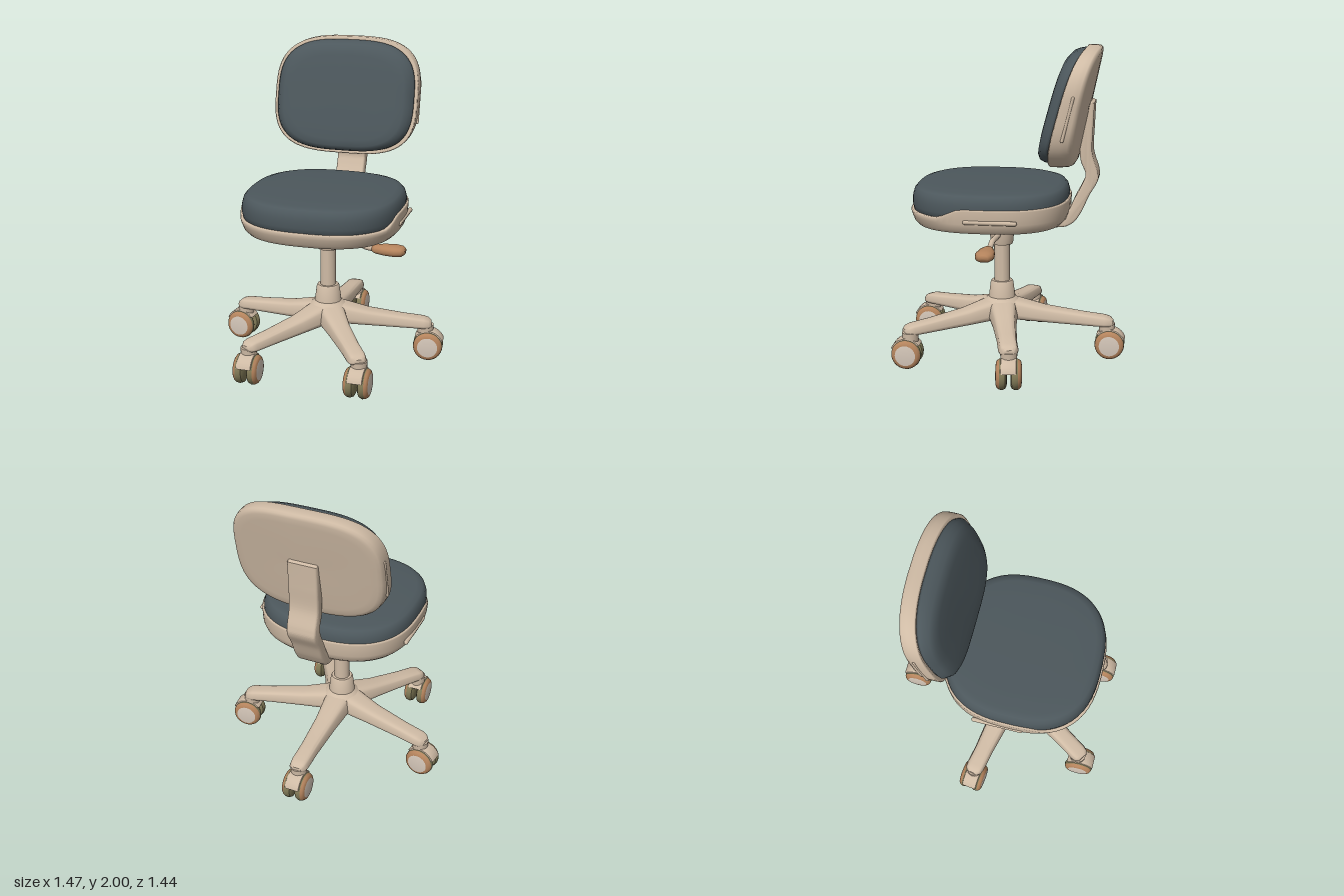
import * as THREE from 'three';
import { toCreasedNormals } from 'three/addons/utils/BufferGeometryUtils.js';

const mat = (name, color) => {
  const m = new THREE.MeshStandardMaterial({ color });
  m.name = name;
  return m;
};
const V = (x, y, z) => new THREE.Vector3(x, y, z);

// Closed skin through rings of points, with a fan at both ends, faces outward
function loft(rings) {
  const n = rings[0].length, pos = [], idx = [];
  rings.forEach(r => r.forEach(p => pos.push(p.x, p.y, p.z)));
  for (let r = 0; r < rings.length - 1; r++) for (let i = 0; i < n; i++) {
    const a = r * n + i, b = r * n + (i + 1) % n, c = a + n, d = b + n;
    idx.push(a, c, b, b, c, d);
  }
  [0, rings.length - 1].forEach((r, end) => {
    const mid = rings[r].reduce((s, p) => s.add(p), V(0, 0, 0)).divideScalar(n);
    const k = pos.push(mid.x, mid.y, mid.z) / 3 - 1;
    for (let i = 0; i < n; i++) {
      const a = r * n + i, b = r * n + (i + 1) % n;
      if (end) idx.push(a, k, b); else idx.push(a, b, k);
    }
  });
  const at = i => V(pos[3 * i], pos[3 * i + 1], pos[3 * i + 2]);
  let volume = 0;
  for (let t = 0; t < idx.length; t += 3) volume += at(idx[t]).dot(at(idx[t + 1]).cross(at(idx[t + 2])));
  if (volume < 0) idx.reverse();
  const g = new THREE.BufferGeometry();
  g.setAttribute('position', new THREE.Float32BufferAttribute(pos, 3));
  g.setIndex(idx);
  g.computeVertexNormals();
  return g;
}

// Rounded-square outline, placed in space by a function of its two coordinates
function outline(a, b, power, count, place) {
  return Array.from({ length: count }, (_, i) => {
    const t = (i + 0.5) / count * Math.PI * 2, c = Math.cos(t), s = Math.sin(t);
    return place(a * Math.sign(c) * Math.abs(c) ** (2 / power), b * Math.sign(s) * Math.abs(s) ** (2 / power));
  });
}

const lathe = (pts, seg = 32) =>
  toCreasedNormals(new THREE.LatheGeometry(pts.map(p => new THREE.Vector2(...p)), seg), 0.7);

export function createModel() {
  const root = new THREE.Group();
  root.name = 'deskChair';
  const shell = mat('beige plastic', 0xcfbba5);
  const fabric = mat('slate fabric', 0x4c575c);
  const tread = mat('olive tread', 0x817a57);
  const brown = mat('warm brown', 0xb4835c);
  const capMat = mat('pale cap', 0xd6c8ba);
  const add = (name, geo, material, parent = root) => {
    const m = new THREE.Mesh(geo, material);
    m.name = name;
    parent.add(m);
    return m;
  };
  const cz = 0.07; // column position

  // Seat: shell rim rises along the sides and rear
  const lift = z => 0.06 * (1 - THREE.MathUtils.smoothstep(z, 0.24, 0.42));
  const seatRing = ([s, y]) => outline(0.5 * s, 0.495 * s, 2.6, 72,
    (x, z) => V(x, y + (y >= 0.99 && y < 1.01 ? lift(z + 0.13) : 0), z + 0.13));
  add('seatShell', loft([[0.5, 0.9], [0.85, 0.902], [0.93, 0.908], [0.97, 0.93], [1, 0.97],
    [1.01, 0.99], [1, 1], [0.95, 1], [0.6, 0.98]].map(seatRing)), shell);
  add('seatCushion', loft([[0.9, 0.96], [0.97, 0.985], [0.988, 1.03], [0.985, 1.08], [0.965, 1.115],
    [0.93, 1.135], [0.86, 1.146], [0.6, 1.152], [0.2, 1.153]].map(seatRing)), fabric);

  // Backrest: leaning, thicker at the bottom, gently wrapped around the sitter
  const bow = x => 0.04 * (x / 0.475) ** 2;
  const backZ = (x, y) => -0.41 - 0.21 * (y - 1.27) + bow(x);
  const frontZ = (x, y) => -0.28 - 0.27 * (y - 1.33) + bow(x);
  const backShellRing = ([s, t]) => outline(0.475 * s, 0.365 - 0.475 * (1 - s), 3.1, 72, (x, v) => {
    const y = 1.635 + v;
    return V(x, y, THREE.MathUtils.lerp(backZ(x, y), frontZ(x, y), t));
  });
  add('backrestShell', loft([[0.5, 0.9], [0.94, 0.95], [0.985, 1], [1, 0.94], [1, 0.5], [0.99, 0.2],
    [0.97, 0.08], [0.93, 0.02], [0.85, 0], [0.6, 0], [0.3, 0]].map(backShellRing)), shell);
  const cushionRing = ([s, d]) => outline(0.46 * s, 0.35 * s, 3.1, 72,
    (x, v) => V(x, 1.638 + v, frontZ(x, 1.638 + v) + d - (d > 0.04 ? bow(x) * 0.7 : 0)));
  add('backrestCushion', loft([[0.2, 0.107], [0.5, 0.106], [0.75, 0.102], [0.86, 0.094], [0.93, 0.076],
    [0.97, 0.045], [0.985, 0.01], [0.95, -0.03]].map(cushionRing)), fabric);

  // Slim grip ridges on the sides of seat and backrest
  for (const side of [-1, 1]) {
    const seatGrip = add('seatGrip', new THREE.CapsuleGeometry(0.014, 0.3, 4, 10), shell);
    seatGrip.rotation.x = Math.PI / 2;
    seatGrip.position.set(side * 0.495, 0.985, 0.07);
    const backGrip = add('backrestGrip', new THREE.CapsuleGeometry(0.01, 0.26, 4, 10), shell);
    backGrip.rotation.x = -0.24;
    backGrip.position.set(side * 0.468, 1.61, -0.385);
  }

  // Bent support bar: side profile (z, y) swept across its width
  const outer = [[0, 0.885], [-0.28, 0.87], [-0.38, 0.895], [-0.44, 0.97], [-0.49, 1.08], [-0.54, 1.17],
    [-0.54, 1.23], [-0.505, 1.35], [-0.508, 1.5], [-0.515, 1.66]];
  const inner = [[-0.46, 1.68], [-0.43, 1.4], [-0.435, 1.3], [-0.465, 1.22], [-0.45, 1.16], [-0.4, 1.06],
    [-0.36, 0.98], [-0.3, 0.94], [0, 0.93]];
  const v2 = a => a.map(p => new THREE.Vector2(...p));
  const bar = new THREE.Shape();
  bar.moveTo(...outer[0]);
  bar.splineThru(v2(outer.slice(1)));
  bar.lineTo(...inner[0]);
  bar.splineThru(v2(inner.slice(1)));
  const barGeo = new THREE.ExtrudeGeometry(bar, { depth: 0.16, curveSegments: 30,
    bevelSize: 0.012, bevelThickness: 0.014, bevelOffset: -0.012, bevelSegments: 3 });
  barGeo.translate(0, 0, -0.08).rotateY(-Math.PI / 2).scale(1, 1, 1);
  add('backSupport', toCreasedNormals(barGeo, 0.6), shell);

  // Column and tilt housing
  const column = add('column', lathe([[0, 0.25], [0.11, 0.3], [0.12, 0.355], [0.085, 0.385], [0.073, 0.48],
    [0.066, 0.492], [0.05, 0.492], [0.05, 0.735], [0.068, 0.735], [0.073, 0.75], [0.08, 0.84], [0.08, 0.9]]), shell);
  column.position.z = cz;
  const housing = add('tiltHousing', lathe([[0, 0.835], [0.1, 0.842], [0.16, 0.858], [0.2, 0.88], [0.22, 0.905]]), shell);
  housing.position.z = cz;

  // Height lever
  const leverPath = new THREE.CatmullRomCurve3([V(0.03, 0.81, 0.08), V(0.12, 0.8, 0.09), V(0.2, 0.797, 0.1),
    V(0.26, 0.775, 0.105), V(0.34, 0.77, 0.108)]);
  add('leverRod', new THREE.TubeGeometry(leverPath, 24, 0.018, 10), shell);
  const paddle = add('leverPaddle', loft([[0.3, 0.018, 0.022], [0.32, 0.027, 0.035], [0.38, 0.034, 0.052],
    [0.45, 0.036, 0.06], [0.49, 0.031, 0.052], [0.51, 0.018, 0.03]].map(([x, h, w]) =>
    outline(h, w, 2.3, 24, (y, z) => V(x, y, z)))), brown);
  paddle.position.set(0, 0.77, 0.108);

  // Five legs, each with a twin-wheel caster
  const wheelParts = [
    ['wheelTread', tread, [[0, 0.012], [0.07, 0.012], [0.087, 0.02], [0.095, 0.038], [0.092, 0.056]]],
    ['wheelRing', brown, [[0.092, 0.056], [0.085, 0.068], [0.075, 0.075], [0.065, 0.077]]],
    ['wheelCap', capMat, [[0.065, 0.077], [0.05, 0.079], [0, 0.08]]],
  ].map(([name, m, pts]) => [name, m, lathe(pts, 28)]);
  const hoodShape = new THREE.Shape();
  hoodShape.absarc(0, 0, 0.101, 0.35, 2.5, false);
  hoodShape.closePath();
  const hoodGeo = toCreasedNormals(new THREE.ExtrudeGeometry(hoodShape,
    { depth: 0.08, curveSegments: 16, bevelSize: 0.008, bevelThickness: 0.008, bevelOffset: -0.006, bevelSegments: 2 })
    .translate(0, 0, -0.04).rotateY(-Math.PI / 2), 0.6);
  const stemGeo = new THREE.CylinderGeometry(0.052, 0.048, 0.09, 20);
  const legStations = [[0, 0.09, 0.25, 0.38], [0.15, 0.095, 0.24, 0.368], [0.4, 0.075, 0.228, 0.327],
    [0.75, 0.062, 0.215, 0.294], [0.95, 0.062, 0.21, 0.278], [1, 0.055, 0.212, 0.268], [1.03, 0.035, 0.222, 0.25]];

  for (const [x, z] of [[0, -0.63], [0.635, -0.065], [-0.635, -0.065], [0.35, 0.62], [-0.35, 0.62]]) {
    const length = Math.hypot(x, z - cz);
    const leg = add('baseLeg', toCreasedNormals(loft(legStations.map(([f, w, lo, hi]) =>
      outline(w, (hi - lo) / 2, 3.5, 24, (u, v) => V(u * (v > 0 ? 0.88 : 1), (lo + hi) / 2 + v, f * length)))), 0.8), shell);
    leg.position.z = cz;
    leg.rotation.y = Math.atan2(x, z - cz);

    const caster = new THREE.Group();
    caster.name = 'caster';
    caster.position.set(x, 0.095, z);
    // Front and rear casters roll forward, side casters roll sideways
    caster.rotation.y = Math.abs(x) > 0.5 ? Math.sign(x) * 1.69 : z > 0 ? 0 : Math.PI;
    root.add(caster);
    add('casterHood', hoodGeo, shell, caster);
    add('casterStem', stemGeo, shell, caster).position.set(0, 0.09, -0.02);
    for (const side of [-1, 1]) for (const [name, m, geo] of wheelParts)
      add(name, geo, m, caster).rotation.z = -side * Math.PI / 2;
  }
  return root;
}
